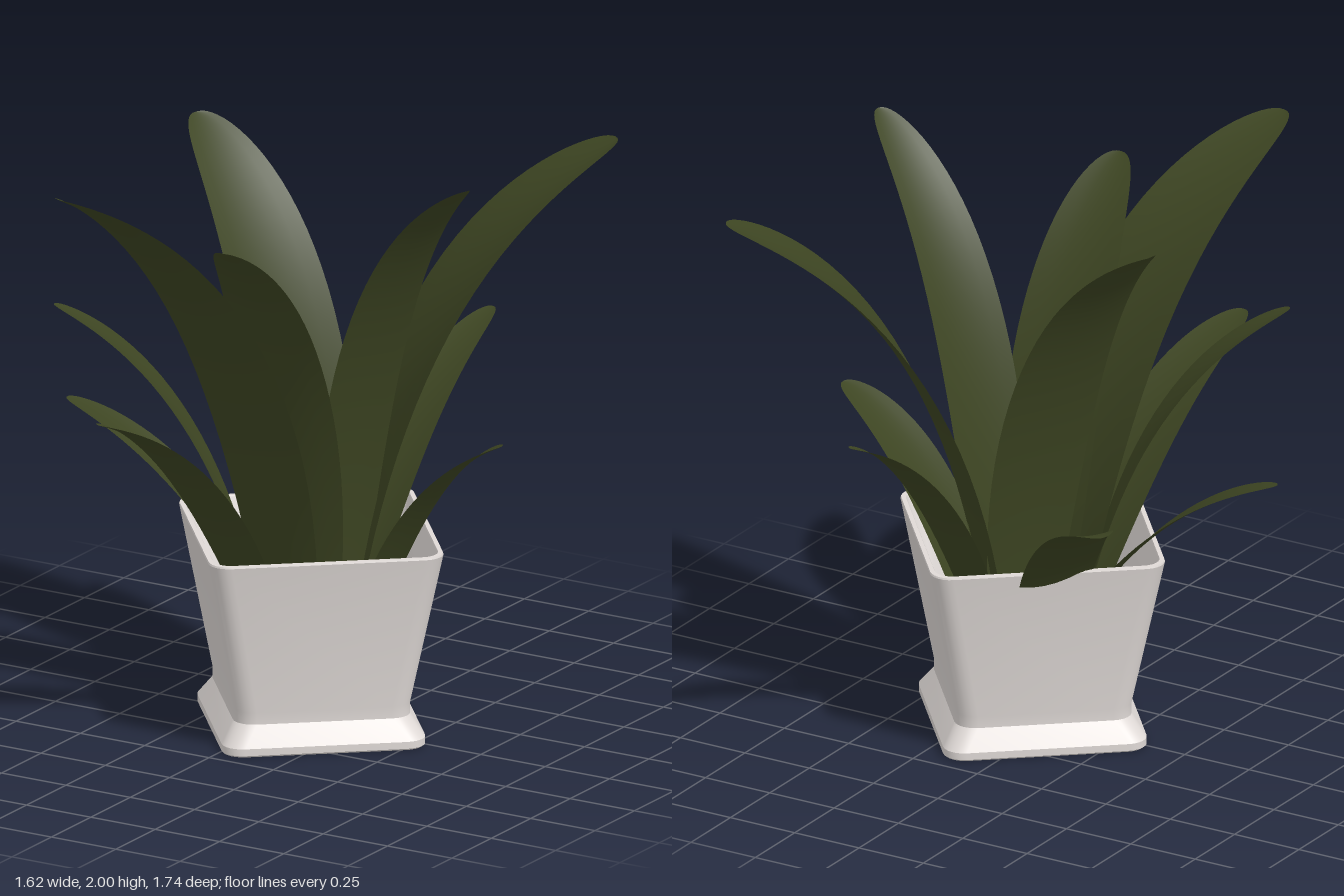
import * as THREE from 'three';
import { toCreasedNormals } from 'three/addons/utils/BufferGeometryUtils.js';

const leafGreen = new THREE.MeshStandardMaterial({ color: 0x3d4522, side: THREE.DoubleSide });
leafGreen.name = 'leaf green';
const potGrey = new THREE.MeshStandardMaterial({ color: 0xdfd9d6 });
potGrey.name = 'pot grey';

const UP = new THREE.Vector3(0, 1, 0);

// Rounded square outline with half width h and corner radius r
function roundedSquare(h, r, y) {
  const ring = [];
  for (let c = 0; c < 4; c++) {
    const mid = Math.PI / 4 + c * Math.PI / 2;
    const cx = Math.sign(Math.cos(mid)) * (h - r);
    const cz = Math.sign(Math.sin(mid)) * (h - r);
    for (let i = 0; i <= 6; i++) {
      const a = (c + i / 6) * Math.PI / 2;
      ring.push([cx + r * Math.cos(a), y, cz + r * Math.sin(a)]);
    }
  }
  return ring;
}

// Skin a list of closed rings
function loft(rings) {
  const n = rings[0].length, index = [];
  for (let j = 0; j < rings.length - 1; j++) {
    for (let i = 0; i < n; i++) {
      const k = (i + 1) % n;
      const a = j * n + i, a2 = j * n + k, b = a + n, b2 = a2 + n;
      index.push(a, b, b2, a, b2, a2);
    }
  }
  const geo = new THREE.BufferGeometry();
  geo.setAttribute('position', new THREE.Float32BufferAttribute(rings.flat(2), 3));
  geo.setIndex(index);
  return toCreasedNormals(geo, 0.45);
}

// Arching leaf: a centre curve from root to tip, swept with a horizontal width.
// turn swings the blade about the vertical
function leafGeometry({ root, tip, half, lean, lift, turn = 0 }) {
  const p0 = new THREE.Vector3(...root), p2 = new THREE.Vector3(...tip);
  const p1 = new THREE.Vector3(
    THREE.MathUtils.lerp(p0.x, p2.x, lean),
    THREE.MathUtils.lerp(p0.y, p2.y, lift),
    THREE.MathUtils.lerp(p0.z, p2.z, lean));
  const curve = new THREE.QuadraticBezierCurve3(p0, p1, p2);
  const side = new THREE.Vector3(p0.z - p2.z, 0, p2.x - p0.x).normalize().applyAxisAngle(UP, turn);
  const rows = 32, cols = 6, peak = 0.52;
  const geo = new THREE.PlaneGeometry(1, 1, cols, rows);
  const pos = geo.attributes.position;
  for (let j = 0; j <= rows; j++) {
    const s = Math.sin(j / rows * Math.PI / 2);
    const centre = curve.getPointAt(s);
    const up = new THREE.Vector3().crossVectors(side, curve.getTangentAt(s)).normalize();
    if (up.y < 0) up.negate();
    // Narrow stalk, broad middle, blunt rounded tip
    const w = half * (s < peak
      ? 0.5 + 0.5 * Math.sin(s / peak * Math.PI / 2)
      : Math.pow(Math.max(0, 1 - ((s - peak) / (1 - peak)) ** 2), 0.46));
    for (let i = 0; i <= cols; i++) {
      const u = i / cols * 2 - 1;
      const p = centre.clone().addScaledVector(side, u * w).addScaledVector(up, 0.1 * w * (u * u - 0.3));
      pos.setXYZ(j * (cols + 1) + i, p.x, p.y, p.z);
    }
  }
  geo.computeVertexNormals();
  return geo;
}

export function createModel() {
  const model = new THREE.Group();
  model.name = 'pottedPlant';

  // Pot: recessed underside, flared foot, tapered wall, thin rim, hollow inside
  const profile = [
    [0, 0, 0.02], [0.29, 0.05, 0.02], [0.295, 0.05, 0], [0.335, 0.068, 0],
    [0.341, 0.07, 0.006], [0.341, 0.07, 0.03], [0.297, 0.07, 0.1], [0.297, 0.07, 0.14],
    [0.394, 0.07, 0.677], [0.392, 0.068, 0.683], [0.377, 0.06, 0.683], [0.374, 0.057, 0.677],
    [0.278, 0.052, 0.14], [0, 0, 0.13],
  ];
  const pot = new THREE.Mesh(loft(profile.map(p => roundedSquare(...p))), potGrey);
  pot.name = 'pot';
  pot.position.set(0.094, 0, 0.005);
  pot.rotation.y = THREE.MathUtils.degToRad(40);
  model.add(pot);

  // Tall inner leaves rise steeply, short outer leaves spread sideways
  const tall = { lean: 0.1, lift: 0.8 };
  const short = { lean: 0.37, lift: 0.83 };
  const leaves = {
    tallBackRightLeaf: { root: [0.11, 0.15, -0.17], tip: [0.77, 1.92, -0.835], half: 0.23, lean: 0.13, lift: 0.8 },
    tallRightLeaf: { ...tall, root: [0.15, 0.15, -0.07], tip: [0.77, 2.0, 0.13], half: 0.15 },
    tallBackLeftLeaf: { ...tall, root: [0.05, 0.15, -0.14], tip: [-0.57, 1.92, -0.35], half: 0.205 },
    tallFrontLeftLeaf: { ...tall, root: [0.06, 0.15, 0.07], tip: [-0.36, 1.98, 0.86], half: 0.205, turn: 0.25 },
    tallFrontLeaf: { ...tall, root: [0.12, 0.15, 0.07], tip: [0.13, 1.81, 0.62], half: 0.175 },
    midFrontLeftLeaf: { root: [0.0, 0.15, 0.1], tip: [-0.625, 1.465, 0.465], half: 0.11, lean: 0.22, lift: 0.8 },
    shortBackLeaf: { ...short, root: [0.13, 0.2, -0.14], tip: [0.265, 1.24, -0.87], half: 0.1 },
    shortRightLeaf: { ...short, root: [0.22, 0.15, -0.03], tip: [0.805, 1.07, -0.04], half: 0.135 },
    shortBackLeftLeaf: { root: [0.0, 0.2, -0.13], tip: [-0.53, 0.99, -0.585], half: 0.125, lean: 0.38, lift: 0.9 },
    shortLeftLeaf: { ...short, root: [0.0, 0.26, 0.0], tip: [-0.81, 1.005, 0.08], half: 0.09, lean: 0.42 },
    shortFrontLeaf: { ...short, root: [0.04, 0.2, 0.12], tip: [-0.2, 1.225, 0.87], half: 0.13, turn: 0.1 },
  };
  for (const [name, spec] of Object.entries(leaves)) {
    const leaf = new THREE.Mesh(leafGeometry(spec), leafGreen);
    leaf.name = name;
    model.add(leaf);
  }
  return model;
}
